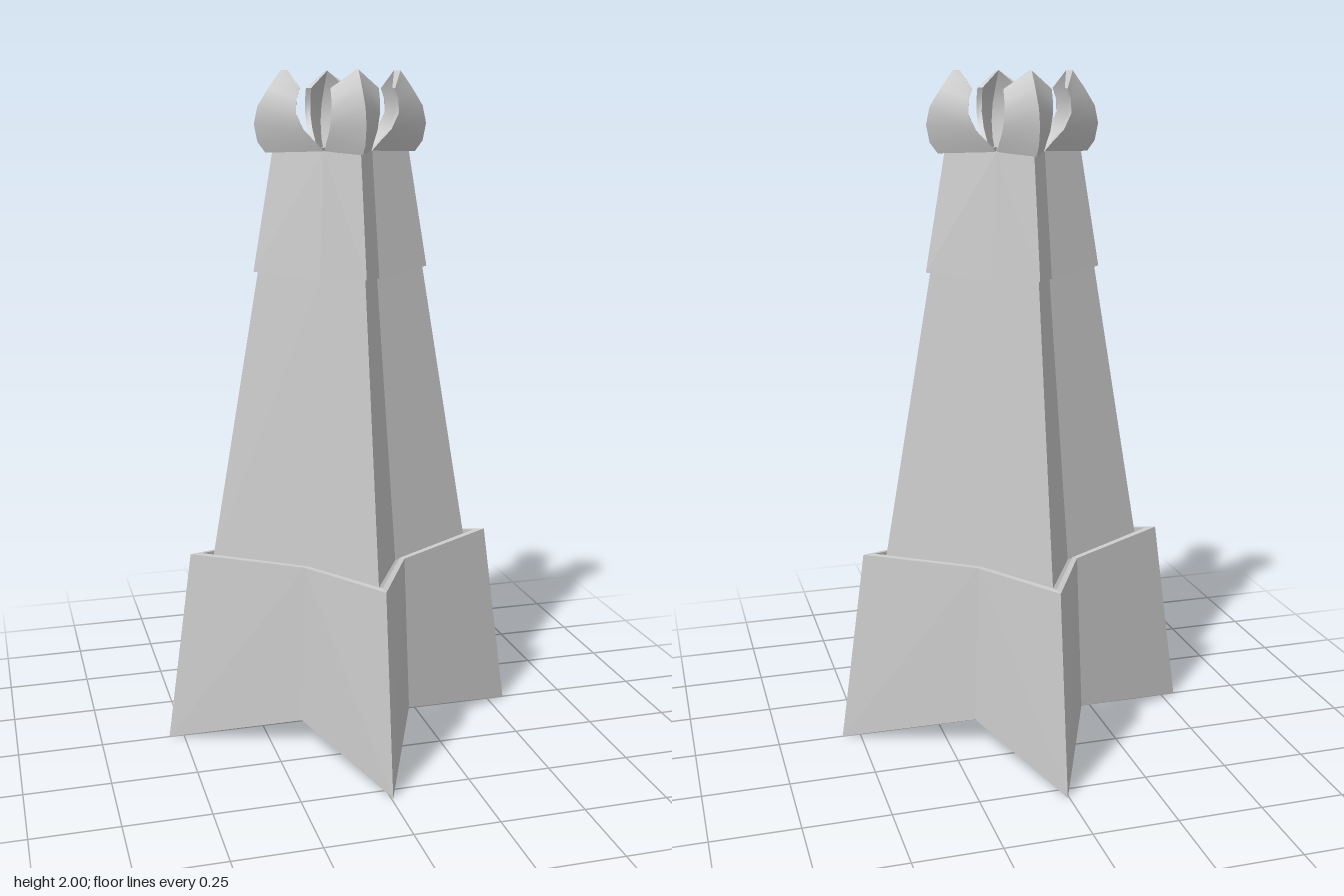
import * as THREE from 'three';
import { toCreasedNormals } from 'three/addons/utils/BufferGeometryUtils.js';

const flat = new THREE.MeshStandardMaterial({ color: 0xcccccc, flatShading: true });
const smooth = new THREE.MeshStandardMaterial({ color: 0xcccccc });

// Skin a grid of rows of points; columns always wrap, rows wrap when closed.
function loft(rows, closed) {
  const pos = [];
  const n = rows[0].length;
  const last = closed ? rows.length : rows.length - 1;
  for (let j = 0; j < last; j++) {
    for (let i = 0; i < n; i++) {
      const k = (i + 1) % n;
      const lower = rows[j], upper = rows[(j + 1) % rows.length];
      const a = lower[i], b = lower[k], c = upper[k], d = upper[i];
      // folds run from the low star tips to the high valleys
      const tris = i % 2 === 0 ? [a, d, c, a, c, b] : [a, d, b, d, c, b];
      for (const p of tris) pos.push(...p);
    }
  }
  const geo = new THREE.BufferGeometry();
  geo.setAttribute('position', new THREE.Float32BufferAttribute(pos, 3));
  geo.computeVertexNormals();
  return geo;
}

// Four-pointed star ring: tips on the axes, valleys on the diagonals.
function starRing({ tip, tipY, valley, valleyY }, inset = 0) {
  const ring = [];
  for (let i = 0; i < 8; i++) {
    const isTip = i % 2 === 0;
    const r = isTip ? tip - 2.4 * inset : (valley - 0.76 * inset) * Math.SQRT2;
    const a = i * Math.PI / 4;
    ring.push([r * Math.cos(a), isTip ? tipY : valleyY, r * Math.sin(a)]);
  }
  return ring;
}

// Hollow tapered star tier, open above and below.
function starTier(name, bottom, top, wall) {
  const rows = [starRing(bottom), starRing(top), starRing(top, wall), starRing(bottom, wall)];
  const mesh = new THREE.Mesh(loft(rows, true), flat);
  mesh.name = name;
  return mesh;
}

// Curved claw with a chevron section, ridge facing +x.
function clawGeometry() {
  const w = 0.07, t = 0.015;
  // flank height, flank radius, ridge height, ridge radius
  const levels = [
    [1.775, 0.072, 1.77, 0.225],
    [1.80, 0.095, 1.80, 0.248],
    [1.835, 0.13, 1.85, 0.258],
    [1.88, 0.152, 1.90, 0.247],
    [1.92, 0.15, 1.95, 0.215],
    [1.95, 0.14, 2.00, 0.178],
  ];
  const rows = levels.map(([fy, fr, ry, rr]) => [
    [fr, fy, -w], [rr, ry, 0], [fr, fy, w],
    [fr - 0.004, fy, w - t], [rr - 0.02, ry, 0], [fr - 0.004, fy, -w + t],
  ]);
  // folding the outer edge onto the inner one closes each end
  const cap = (r) => [r[5], r[4], r[3], r[3], r[4], r[5]];
  const all = [cap(rows[0]), ...rows, cap(rows[rows.length - 1])];
  return toCreasedNormals(loft(all, false), 0.7);
}

export function createModel() {
  const model = new THREE.Group();
  model.name = 'starTower';

  // Stacked tiers
  model.add(starTier('baseSkirt',
    { tip: 0.55, tipY: 0, valley: 0.17, valleyY: 0.085 },
    { tip: 0.47, tipY: 0.585, valley: 0.155, valleyY: 0.565 }, 0.015));
  model.add(starTier('shaft',
    { tip: 0.40, tipY: 0.575, valley: 0.133, valleyY: 0.555 },
    { tip: 0.25, tipY: 1.44, valley: 0.084, valleyY: 1.42 }, 0.011));
  model.add(starTier('upperCollar',
    { tip: 0.265, tipY: 1.43, valley: 0.09, valleyY: 1.41 },
    { tip: 0.205, tipY: 1.775, valley: 0.072, valleyY: 1.775 }, 0.01));

  // Claws and the thin paired partitions between them
  const clawGeo = clawGeometry();
  const plateGeo = new THREE.BoxGeometry(0.08, 0.34, 0.006);
  for (let i = 0; i < 4; i++) {
    const quarter = new THREE.Group();
    quarter.name = 'crownQuarter';
    quarter.rotation.y = i * Math.PI / 2;
    const claw = new THREE.Mesh(clawGeo, smooth);
    claw.name = 'claw';
    quarter.add(claw);
    for (const side of [-1, 1]) {
      const plate = new THREE.Mesh(plateGeo, flat);
      plate.name = 'partition';
      plate.position.set(0.042, 1.6, side * 0.03);
      plate.rotation.y = -side * Math.PI / 4;
      quarter.add(plate);
    }
    model.add(quarter);
  }

  model.position.x = 0.005;
  return model;
}
